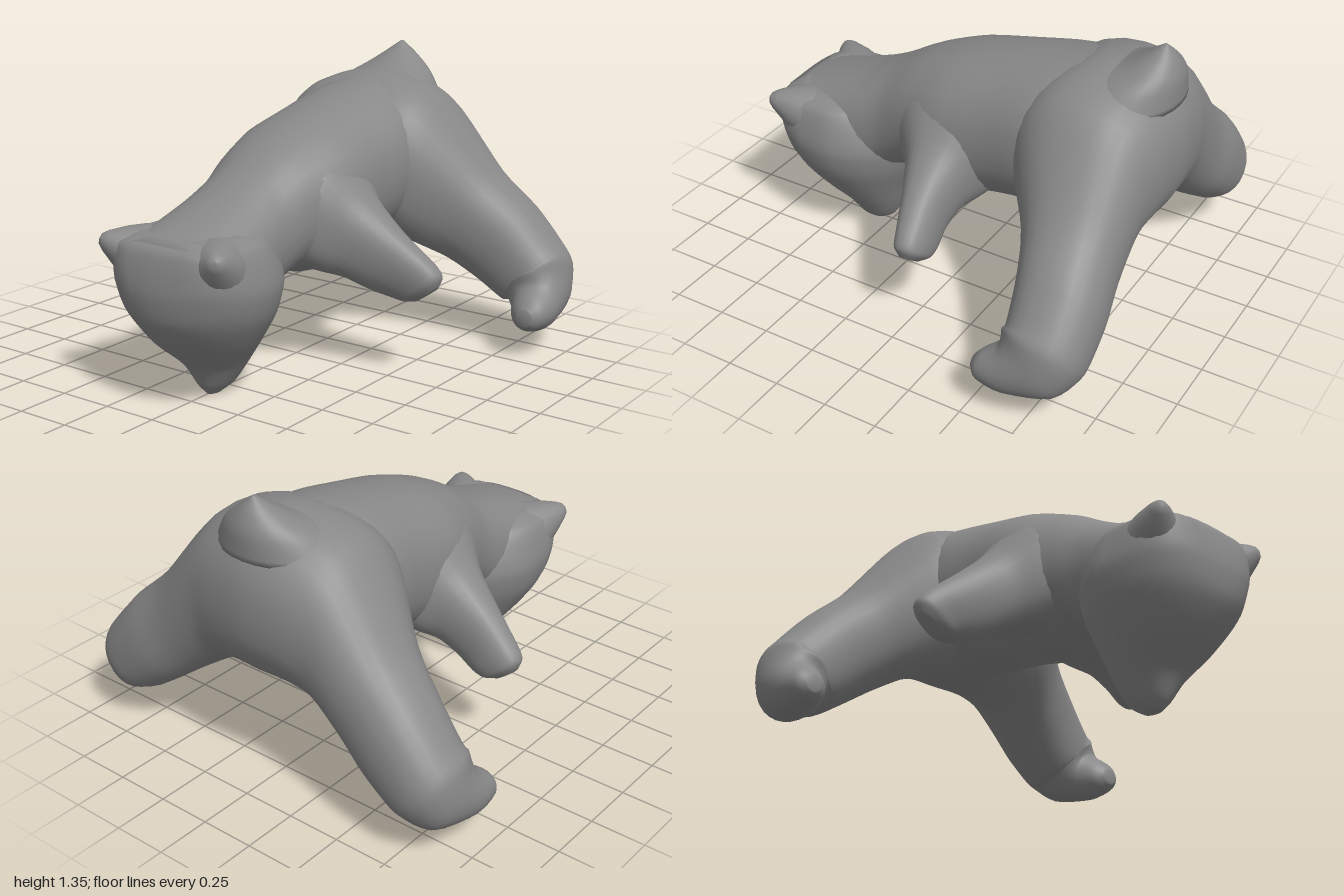
import * as THREE from 'three';

const material = new THREE.MeshStandardMaterial({ color: 0x888888 });
const SIDES = 28, STEPS = 4;
const V = (x, y, z) => new THREE.Vector3(x, y, z);

// A cross-section: centre c, half axes u and v, squareness of its two halves (2 = ellipse)
const ring = (c, u, v, n = 2, m = n) => ({ c, u, v, n, m });

// Section types: across z (body), across y (head, tail) and slanted (limbs)
const acrossZ = ([z, top, bottom, w, n]) =>
  ring(V(0, (top + bottom) / 2, z), V(w, 0, 0), V(0, (top - bottom) / 2, 0), n);
const acrossY = ([y, w, back, front, n, m]) =>
  ring(V(0, y, (back + front) / 2), V(w, 0, 0), V(0, 0, (front - back) / 2), n, m);
const slanted = ([xt, yt, xb, yb, back, front]) =>
  ring(V((xt + xb) / 2, (yt + yb) / 2, (back + front) / 2),
    V((xt - xb) / 2, (yt - yb) / 2, 0), V(0, 0, (front - back) / 2), 2.3);
const mirrored = ({ c, u, v, n, m }) => {
  const flip = (p) => V(-p.x, p.y, p.z);
  return ring(flip(c), flip(u), flip(v), n, m);
};

// Smooth closed skin through a row of sections
function loft(name, rings) {
  const curve = (key) => new THREE.CatmullRomCurve3(rings.map((r) => r[key]), false, 'catmullrom', 0.4);
  const cs = curve('c'), us = curve('u'), vs = curve('v');
  const rows = (rings.length - 1) * STEPS;
  const pos = [], index = [];
  const power = (t, n) => Math.sign(t) * Math.pow(Math.abs(t), 2 / n);
  for (let i = 0; i <= rows; i++) {
    const t = i / rows, k = Math.min(Math.floor(i / STEPS), rings.length - 2);
    const mix = (key) => THREE.MathUtils.lerp(rings[k][key], rings[k + 1][key], i / STEPS - k);
    const c = cs.getPoint(t), u = us.getPoint(t), v = vs.getPoint(t);
    for (let j = 0; j < SIDES; j++) {
      const a = (j / SIDES) * Math.PI * 2;
      const n = mix(j <= SIDES / 2 ? 'n' : 'm');
      const p = c.clone().addScaledVector(u, power(Math.cos(a), n)).addScaledVector(v, power(Math.sin(a), n));
      pos.push(p.x, p.y, p.z);
    }
  }
  const first = rings[0].c, last = rings[rings.length - 1].c;
  const capA = pos.length / 3, capB = capA + 1;
  pos.push(first.x, first.y, first.z, last.x, last.y, last.z);
  for (let j = 0; j < SIDES; j++) {
    const k = (j + 1) % SIDES, end = rows * SIDES;
    for (let i = 0; i < rows; i++) {
      const a = i * SIDES + j, b = i * SIDES + k;
      index.push(a, b, b + SIDES, a, b + SIDES, a + SIDES);
    }
    index.push(capA, k, j, capB, end + j, end + k);
  }
  // Turn the faces outwards when the enclosed volume comes out negative
  const at = (i) => V(pos[3 * i], pos[3 * i + 1], pos[3 * i + 2]);
  let volume = 0;
  for (let i = 0; i < index.length; i += 3) {
    volume += at(index[i]).dot(at(index[i + 1]).cross(at(index[i + 2])));
  }
  if (volume < 0) index.reverse();
  const geometry = new THREE.BufferGeometry();
  geometry.setAttribute('position', new THREE.Float32BufferAttribute(pos, 3));
  geometry.setIndex(index);
  geometry.computeVertexNormals();
  const mesh = new THREE.Mesh(geometry, material);
  mesh.name = name;
  return mesh;
}

// A pair of limbs as one arch, running through the body from side to side
const limbPair = (name, middle, limb) =>
  loft(name, [...limb.map(mirrored).reverse(), middle, ...limb]);

export function createModel() {
  const model = new THREE.Group();
  model.name = 'animal';

  // Body and neck: z, top, bottom, half width, squareness
  model.add(loft('body', [
    [0.93, 0.735, 0.6, 0.22, 2.5],
    [0.75, 0.795, 0.4, 0.26, 2.4],
    [0.55, 0.865, 0.35, 0.27, 2.3],
    [0.4, 0.94, 0.4, 0.26, 2.2],
    [0.25, 1.025, 0.46, 0.29, 2.2],
    [0.05, 1.1, 0.42, 0.35, 2.2],
    [-0.2, 1.16, 0.47, 0.345, 2.2],
    [-0.4, 1.2, 0.5, 0.36, 2.2],
    [-0.6, 1.235, 0.5, 0.34, 2.1],
    [-0.8, 1.26, 0.55, 0.26, 2],
    [-0.92, 1.22, 0.65, 0.18, 2],
  ].map(acrossZ)));

  // Wedge-shaped head, muzzle down: y, half width, back, front, front and back squareness
  model.add(loft('head', [
    [0.75, 0.21, 0.5, 0.88, 3, 2],
    [0.71, 0.295, 0.4, 0.955, 4, 1.8],
    [0.62, 0.33, 0.32, 0.985, 3.2, 1.7],
    [0.52, 0.345, 0.3, 0.997, 2.5, 1.8],
    [0.4, 0.315, 0.33, 0.975, 2.1, 1.9],
    [0.27, 0.235, 0.385, 0.88, 2, 2],
    [0.15, 0.145, 0.43, 0.74, 2, 2],
    [0.05, 0.075, 0.48, 0.68, 2, 2],
    [0.003, 0.025, 0.55, 0.64, 2, 2],
  ].map(acrossY)));

  // Short pointed tail flaring into the rump
  model.add(loft('tail', [
    [1.1, 0.3, -0.955, -0.45, 2],
    [1.2, 0.215, -0.955, -0.58, 2],
    [1.25, 0.15, -0.945, -0.7, 2],
    [1.305, 0.075, -0.92, -0.79, 2],
    [1.355, 0.008, -0.88, -0.86, 2],
  ].map(acrossY)));

  // Ears: blunt points at the upper front corners of the head
  const earProfile = [[0.13, 0], [0.09, 0.08], [0.045, 0.15], [0.025, 0.172], [0, 0.18]];
  const earGeometry = new THREE.LatheGeometry(earProfile.map(([r, y]) => new THREE.Vector2(r, y)), 20);
  for (const [side, label] of [[1, 'left'], [-1, 'right']]) {
    const ear = new THREE.Mesh(earGeometry, material);
    ear.name = label + 'Ear';
    ear.position.set(side * 0.21, 0.64, 0.82);
    ear.quaternion.setFromUnitVectors(V(0, 1, 0), V(side * 0.1, 0.075, 0.13).normalize());
    model.add(ear);
  }

  // Front legs: upper x, y; lower x, y; back z, front z
  model.add(limbPair('frontLegs', slanted([0, 1.05, 0, 0.47, -0.28, 0.36]), [
    [0.15, 1.03, 0.13, 0.47, -0.26, 0.34],
    [0.28, 0.95, 0.24, 0.45, -0.22, 0.27],
    [0.4, 0.8, 0.32, 0.43, -0.14, 0.165],
    [0.55, 0.66, 0.41, 0.39, -0.11, 0.095],
    [0.69, 0.54, 0.5, 0.36, -0.12, 0.04],
    [0.73, 0.485, 0.56, 0.35, -0.115, 0.02],
    [0.715, 0.43, 0.62, 0.36, -0.08, -0.01],
  ].map(slanted)));

  // Broad hind legs and rump, the feet turning forward
  model.add(limbPair('hindLegs', slanted([0, 1.25, 0, 0.5, -1, -0.36]), [
    ...[
      [0.2, 1.21, 0.15, 0.49, -0.985, -0.32],
      [0.36, 1.12, 0.28, 0.45, -0.96, -0.35],
      [0.6, 0.81, 0.42, 0.37, -0.955, -0.51],
      [0.77, 0.65, 0.55, 0.28, -0.975, -0.58],
      [0.9, 0.5, 0.67, 0.2, -0.975, -0.61],
    ].map(slanted),
    ring(V(0.83, 0.315, -0.785), V(0.125, 0.12, 0), V(-0.02, 0.04, 0.175), 2.2),
    ring(V(0.855, 0.265, -0.735), V(0.115, 0.085, 0), V(-0.05, 0.095, 0.135)),
    ring(V(0.88, 0.225, -0.64), V(0.09, 0.065, 0), V(-0.06, 0.09, 0.03)),
    ring(V(0.892, 0.21, -0.55), V(0.065, 0.045, 0), V(-0.045, 0.06, 0)),
    ring(V(0.895, 0.205, -0.51), V(0.03, 0.02, 0), V(-0.02, 0.03, 0)),
  ]));
  return model;
}
